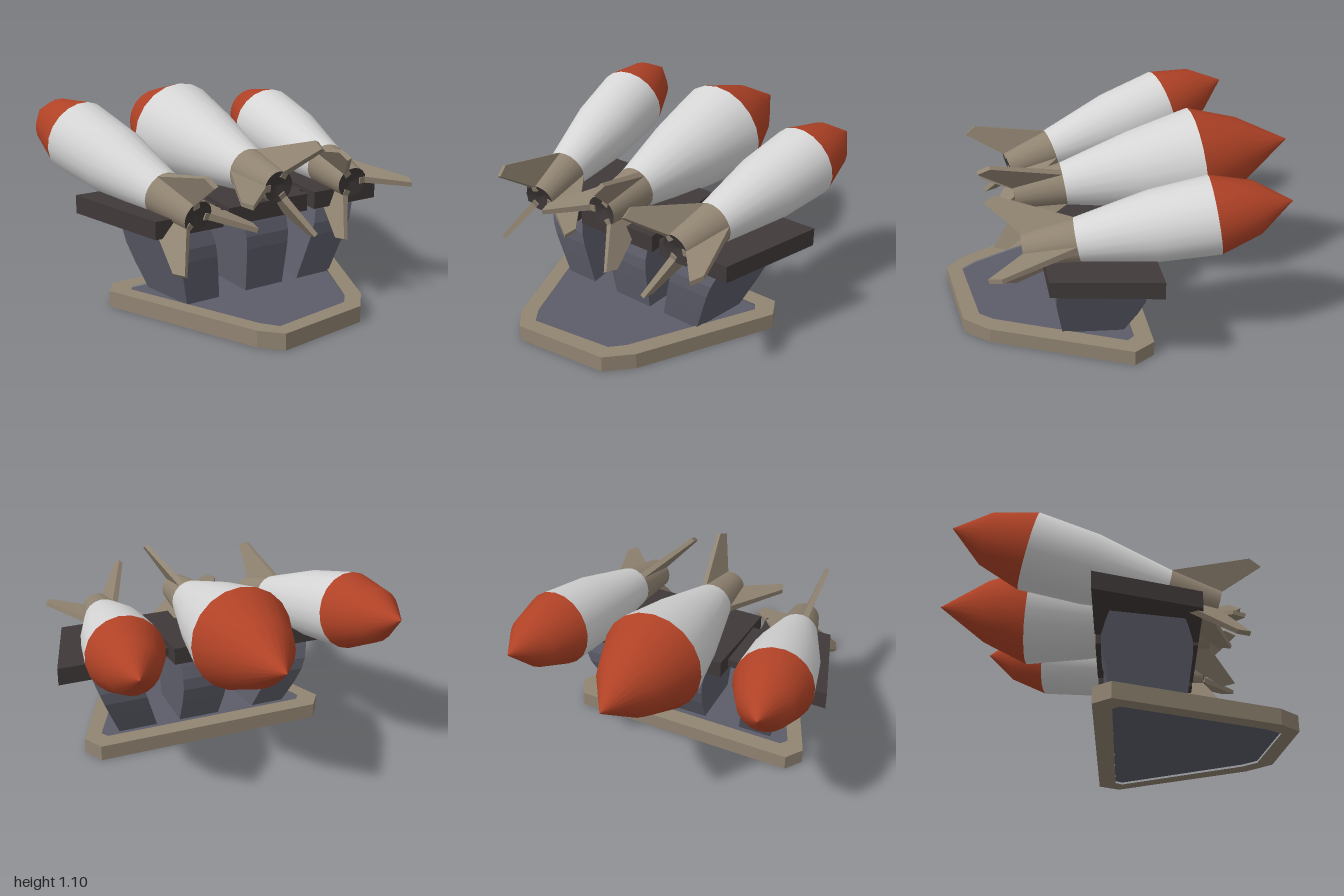
import * as THREE from 'three';

const mat = (name, color) => Object.assign(new THREE.MeshStandardMaterial({ color }), { name });

// Closed solid through four-cornered rings, listed bottom to top
function loft(rings) {
  const pos = [];
  const quad = (a, b, c, d) => [a, b, c, a, c, d].forEach(p => pos.push(...p));
  for (let i = 0; i < rings.length - 1; i++) {
    const r = rings[i], s = rings[i + 1];
    for (let j = 0; j < 4; j++) {
      const k = (j + 1) % 4;
      quad(r[j], r[k], s[k], s[j]);
    }
  }
  const [a, b, c, d] = rings[0];
  quad(d, c, b, a);
  quad(...rings[rings.length - 1]);
  const g = new THREE.BufferGeometry();
  g.setAttribute('position', new THREE.Float32BufferAttribute(pos, 3));
  g.computeVertexNormals();
  return g;
}

const polygon = pts => new THREE.Shape(pts.map(([x, y]) => new THREE.Vector2(x, y)));

export function createModel() {
  const model = new THREE.Group();
  const white = mat('hull white', 0xd6d6d6);
  const red = mat('nose red', 0xb04226);
  const tan = mat('tan', 0x918472);
  const dark = mat('dark metal', 0x403939);
  const grey = mat('blue grey', 0x5d5d6a);

  const add = (parent, name, geometry, material) => {
    const mesh = new THREE.Mesh(geometry, material);
    mesh.name = name;
    parent.add(mesh);
    return mesh;
  };

  // Plinth: tan rim around a slightly recessed grey plate
  const outer = [[-0.265, 0.995], [0.27, 0.925], [0.39, 0.79], [0.735, 0.04], [0.67, -0.078],
    [-0.67, -0.078], [-0.74, 0.02], [-0.365, 0.89]];
  const inner = [[-0.235, 0.905], [0.235, 0.835], [0.30, 0.76], [0.63, 0.06], [0.60, 0.02],
    [-0.60, 0.02], [-0.63, 0.06], [-0.30, 0.82]];
  const slab = (shape, depth, top) => new THREE.ExtrudeGeometry(shape, { depth, bevelEnabled: false })
    .rotateX(Math.PI / 2).translate(0, top, 0);
  const rim = polygon(outer);
  rim.holes.push(new THREE.Path(inner.map(([x, z]) => new THREE.Vector2(x, z))));
  add(model, 'plinthRim', slab(rim, 0.09, 0.09), tan);
  add(model, 'plinthPlate', slab(polygon(inner), 0.068, 0.08), grey);

  // Legs: [y, back z, front z] outline, leaning outward in x
  const legOutline = [[0.07, 0.065, 0.395], [0.23, -0.005, 0.42], [0.33, -0.037, 0.435],
    [0.40, -0.037, 0.435], [0.47, -0.015, 0.415], [0.56, 0.02, 0.38]];
  const addLeg = (bottom, top, skew) => {
    const rings = legOutline.map(([y, z0, z1]) => {
      const t = (y - 0.07) / 0.43;
      const l = THREE.MathUtils.lerp(bottom[0], top[0], t);
      const r = THREE.MathUtils.lerp(bottom[1], top[1], t);
      const at = (x, z) => [x + skew * (z - 0.25), y, z];
      return [at(l, z1), at(r, z1), at(r, z0), at(l, z0)];
    });
    add(model, 'leg', loft(rings), grey);
  };
  addLeg([-0.49, -0.29], [-0.60, -0.36], 0.15);
  addLeg([-0.097, 0.148], [-0.127, 0.158], 0);
  addLeg([0.265, 0.495], [0.39, 0.655], -0.12);

  // Cradle blocks, rising gently toward the noses
  const addCradle = (front, back) => {
    const ring = (yf, yb) => [[front[0], yf, 0.485], [front[1], yf, 0.485],
      [back[1], yb, -0.078], [back[0], yb, -0.078]];
    add(model, 'cradle', loft([ring(0.505, 0.53), ring(0.60, 0.63)]), dark);
  };
  addCradle([-0.70, -0.30], [-0.87, -0.365]);
  addCradle([-0.265, 0.245], [-0.25, 0.22]);
  addCradle([0.295, 0.73], [0.32, 0.885]);
  add(model, 'cradleLink', new THREE.BoxGeometry(0.8, 0.05, 0.35).translate(0, 0.565, 0.195), dark);

  // One tail fin in the plane of radius and rocket axis
  const finShape = polygon([[0.05, 0.28], [0.118, 0.28], [0.30, -0.10], [0.275, -0.17], [0.08, 0.0], [0.05, 0.0]]);
  const fin = new THREE.ExtrudeGeometry(finShape, { depth: 0.036, bevelEnabled: false }).translate(0, 0, -0.018);
  // Thin the fin toward its tip
  const fp = fin.attributes.position;
  for (let i = 0; i < fp.count; i++) fp.setZ(i, fp.getZ(i) * (1.15 - 1.6 * fp.getX(i)));
  fin.computeVertexNormals();

  // Rocket: local y runs from the tail to the nose tip
  const lathe = pts => new THREE.LatheGeometry(pts.map(([r, y]) => new THREE.Vector2(r, y)), 20);
  const addRocket = (name, tail, tip, finAngle, p) => {
    const rocket = new THREE.Group();
    rocket.name = name;
    const a = new THREE.Vector3(...tail), axis = new THREE.Vector3(...tip).sub(a);
    const length = axis.length();
    rocket.position.copy(a);
    rocket.quaternion.setFromUnitVectors(new THREE.Vector3(0, 1, 0), axis.normalize());
    add(rocket, 'tailCone', lathe([[0.087, 0], [p.joint, 0.28]]), tan);
    add(rocket, 'hull', lathe([[p.joint, 0.28], [p.waist, p.waistY], [p.band, p.bandY]]), white);
    add(rocket, 'noseCone', lathe([[p.band, p.bandY], [p.nose, p.noseY], [0, length]]), red);
    add(rocket, 'nozzle', lathe([[0, 0.02], [0.087, 0]]), dark);
    for (let i = 0; i < 3; i++) {
      add(rocket, 'fin', fin, tan).rotation.y = -THREE.MathUtils.degToRad(finAngle + i * 120);
    }
    model.add(rocket);
  };
  const small = { joint: 0.118, waist: 0.19, waistY: 0.68, band: 0.21, bandY: 1.0, nose: 0.142, noseY: 1.22 };
  addRocket('centreRocket', [-0.02, 0.70, 0.58], [-0.025, 0.885, -1.0], 61.5,
    { joint: 0.12, waist: 0.22, waistY: 0.69, band: 0.285, bandY: 1.045, nose: 0.182, noseY: 1.31 });
  addRocket('rightRocket', [-0.505, 0.615, 0.57], [-0.755, 0.96, -0.81], -22,
    { ...small, waistY: 0.69, bandY: 1.03, noseY: 1.26 });
  addRocket('leftRocket', [0.48, 0.65, 0.58], [0.64, 0.88, -0.80], 12, small);

  return model;
}
